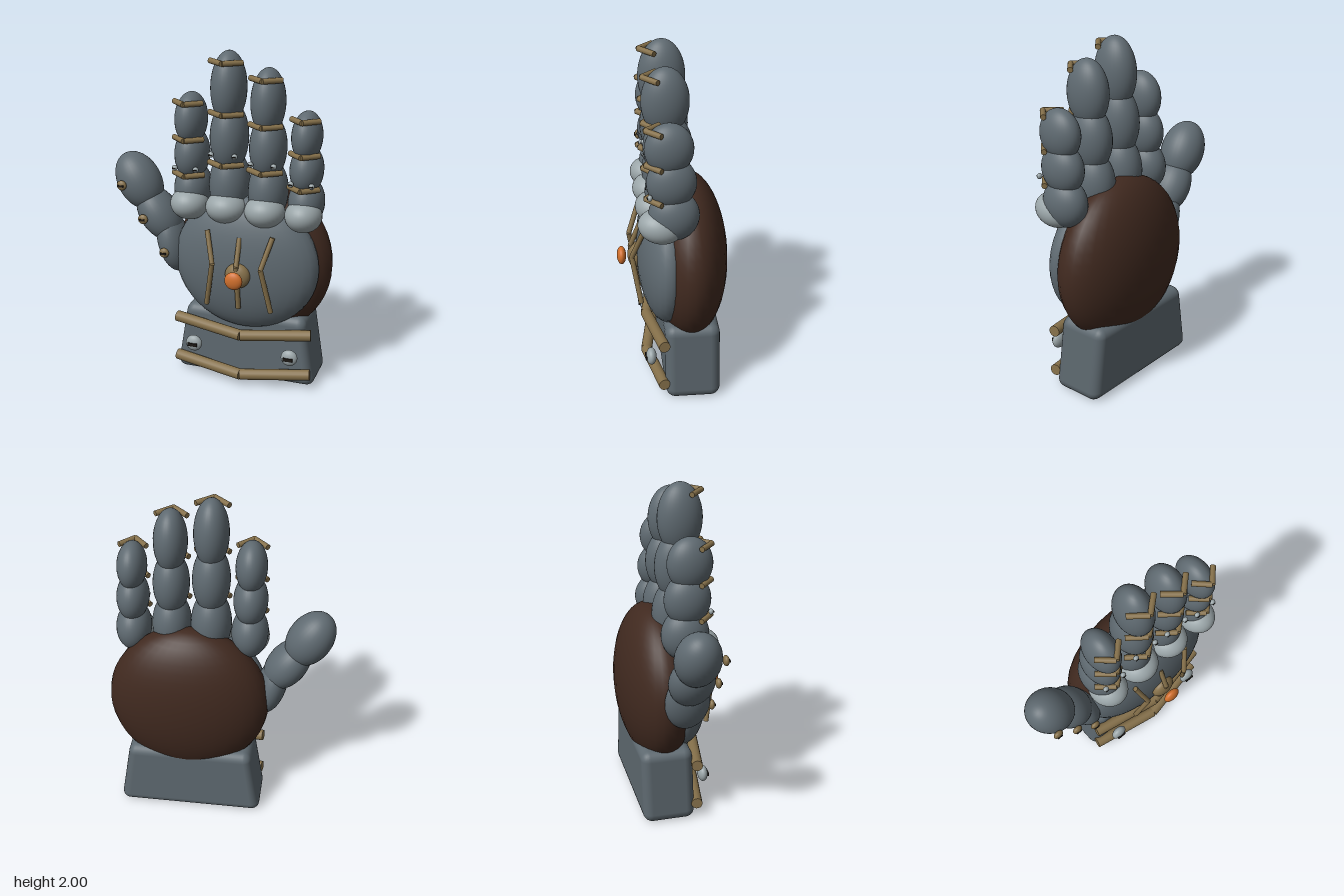
import * as THREE from 'three';
import { RoundedBoxGeometry } from 'three/addons/geometries/RoundedBoxGeometry.js';

const mat = (name, color) => {
  const m = new THREE.MeshStandardMaterial({ color });
  m.name = name;
  return m;
};

export function createModel() {
  const root = new THREE.Group();
  root.name = 'armouredGlove';
  const steel = mat('dark steel', 0x5f6a71);
  const silver = mat('pale steel', 0x9aa5a8);
  const leather = mat('brown leather', 0x40291f);
  const brass = mat('aged brass', 0x85704a);
  const orange = mat('orange gem', 0xd06f2c);
  const black = mat('slot black', 0x1c1814);

  const add = (parent, name, geo, material, p) => {
    const m = new THREE.Mesh(geo, material);
    m.name = name;
    m.position.set(...p);
    parent.add(m);
    return m;
  };
  const group = (name) => {
    const g = new THREE.Group();
    g.name = name;
    root.add(g);
    return g;
  };
  const ball = new THREE.SphereGeometry(1, 32, 24);
  const ellipsoid = (parent, name, material, p, r) => {
    const m = add(parent, name, ball, material, p);
    m.scale.set(...r);
    return m;
  };
  // Bent rod: one cylinder between each pair of points
  const rod = (parent, name, points, radius) => {
    const v = points.map((p) => new THREE.Vector3(...p));
    for (let i = 0; i + 1 < v.length; i++) {
      const d = v[i + 1].clone().sub(v[i]);
      const mid = v[i].clone().add(v[i + 1]).multiplyScalar(0.5);
      const m = add(parent, name, new THREE.CylinderGeometry(radius, radius, d.length(), 16), brass, mid.toArray());
      m.quaternion.setFromUnitVectors(new THREE.Vector3(0, 1, 0), d.normalize());
    }
  };
  // Domed screw with a dark slot
  const screw = (parent, material, x, y, z, r, rz) => {
    ellipsoid(parent, 'screwHead', material, [x, y, z], [r, r, rz]);
    add(parent, 'screwSlot', new THREE.BoxGeometry(r * 1.15, r * 0.4, rz * 0.7), black, [x, y, z + rz * 0.8]);
  };

  // Palm
  const palm = group('palm');
  ellipsoid(palm, 'leatherPalm', leather, [0.18, 0.74, -0.09], [0.475, 0.49, 0.23]);
  ellipsoid(palm, 'handPlate', steel, [0.17, 0.755, 0.04], [0.437, 0.41, 0.165]);

  // Ribs and gem on the hand plate
  for (const dx of [-1, 0, 1]) {
    rod(palm, 'plateRib', [
      [0.17 + dx * 0.195, 0.98 - (dx ? 0 : 0.025), 0.175],
      [0.17 + dx * 0.145, 0.8, 0.238],
      [0.17 + dx * 0.195, 0.525, 0.19],
    ], 0.015);
  }
  ellipsoid(palm, 'gemMount', brass, [0.17, 0.735, 0.21], [0.075, 0.075, 0.045]);
  ellipsoid(palm, 'gem', orange, [0.172, 0.735, 0.29], [0.053, 0.053, 0.027]);

  // Cuff, narrower at the top
  const cuff = group('cuff');
  const box = new RoundedBoxGeometry(0.875, 0.44, 0.315, 3, 0.055);
  const pos = box.attributes.position;
  for (let i = 0; i < pos.count; i++) {
    pos.setX(i, pos.getX(i) * (1 - 0.16 * (pos.getY(i) / 0.44 + 0.5)));
  }
  add(cuff, 'cuffBlock', box, steel, [0.165, 0.22, -0.092]);
  for (const y of [0.355, 0.095]) {
    rod(cuff, 'cuffBar', [[-0.255, y, 0.075], [0.17, y - 0.028, 0.15], [0.58, y, 0.075]], 0.033);
  }
  for (const x of [-0.125, 0.47]) screw(cuff, silver, x, 0.225, 0.143, 0.05, 0.03);

  // Fingers: x, tip height, segment spacing, tip width, band heights, stud height
  const fingers = [
    ['indexFinger', -0.165, 1.75, 0.21, 0.09, [1.7, 1.49, 1.28], 1.325],
    ['middleFinger', 0.06, 2.0, 0.285, 0.1, [1.945, 1.655, 1.363], 1.425],
    ['ringFinger', 0.29, 1.92, 0.262, 0.096, [1.865, 1.605, 1.34], 1.39],
    ['littleFinger', 0.516, 1.695, 0.195, 0.085, [1.655, 1.46, 1.265], 1.3],
  ];
  for (const [name, x, top, step, w, bands, studY] of fingers) {
    const f = group(name);
    const ry = step * 0.735;
    for (let i = 0; i < 3; i++) {
      ellipsoid(f, 'fingerSegment', steel, [x, top - ry - i * step, 0.045 - i * 0.013],
        [w + i * 0.009, ry, 0.132 + i * 0.004]);
      const h = w - 0.006 + i * 0.004;
      rod(f, 'fingerBand', [[x - h, bands[i], 0.09], [x, bands[i] + 0.003, 0.17], [x + h, bands[i], 0.09]], 0.016);
    }
    ellipsoid(f, 'knuckle', silver, [x + 0.002, 1.1, 0.09], [w + 0.021, 0.095, 0.126]).rotation.x = -0.22;
    for (const s of [-1, 1]) screw(f, silver, x + s * (w * 0.7), studY, 0.152, 0.017, 0.014);
  }

  // Thumb: centre, radii, tilt
  const thumb = group('thumb');
  const segments = [
    [-0.515, 1.172, 0.13, 0.185, 0.52],
    [-0.39, 0.98, 0.115, 0.18, 0.6],
    [-0.3, 0.815, 0.09, 0.19, 0.25],
  ];
  segments.forEach(([x, y, rx, ry, tilt], i) => {
    ellipsoid(thumb, 'thumbSegment', steel, [x, y, 0], [rx, ry, 0.132]).rotation.z = tilt;
    screw(thumb, brass, -0.57 + i * 0.13, 1.177 - i * 0.196, 0.14, 0.03, 0.018);
  });

  return root;
}
